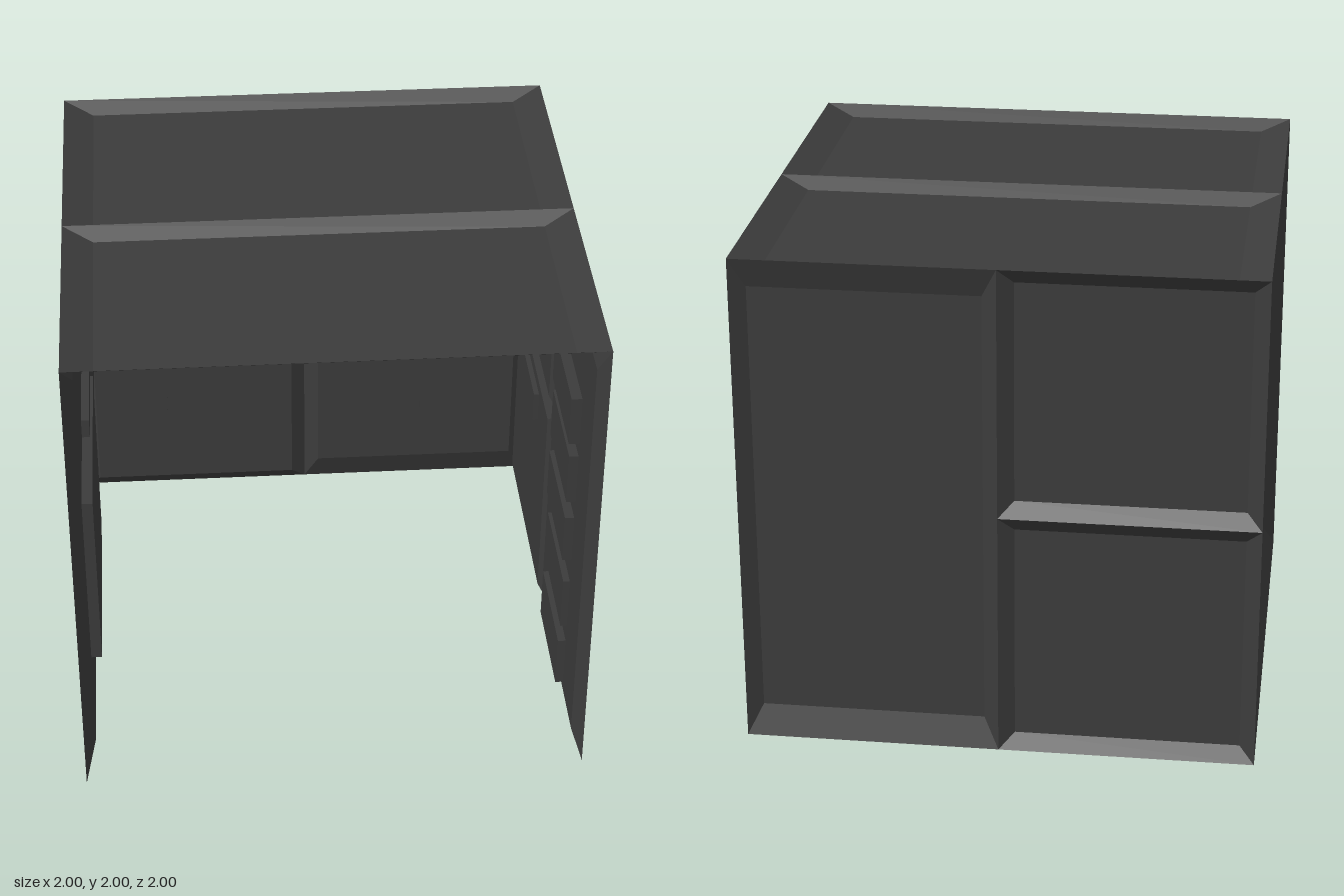
import * as THREE from 'three';

const DEPTH = 0.042; // how far each panel is pressed inward
const BEVEL = 0.06;  // bevel width as a share of the panel's size

const charcoal = new THREE.MeshStandardMaterial({ color: 0x3c3c3c, side: THREE.DoubleSide });
charcoal.name = 'charcoal';

// Thin sheet whose middle is pressed towards +z, with a sloping rim
function pressedPanel(x0, x1, y0, y1) {
  const bx = (x1 - x0) * BEVEL, by = (y1 - y0) * BEVEL;
  const ring = (ix, iy, z) => [
    x0 + ix, y0 + iy, z, x1 - ix, y0 + iy, z, x1 - ix, y1 - iy, z, x0 + ix, y1 - iy, z];
  const index = [4, 5, 6, 4, 6, 7];
  for (let i = 0; i < 4; i++) {
    const j = (i + 1) % 4;
    index.push(i, j, j + 4, i, j + 4, i + 4);
  }
  const indexed = new THREE.BufferGeometry();
  indexed.setAttribute('position',
    new THREE.Float32BufferAttribute([...ring(0, 0, -1), ...ring(bx, by, -1 + DEPTH)], 3));
  indexed.setIndex(index);
  const geometry = indexed.toNonIndexed();
  geometry.computeVertexNormals();
  return geometry;
}

// Raised block on the inner face of a wall, reaching "reach" inward from the cube's face
function raisedBlock(x0, x1, y0, y1, reach) {
  const start = DEPTH + 0.002;
  const geometry = new THREE.BoxGeometry(x1 - x0, y1 - y0, reach - start);
  geometry.translate((x0 + x1) / 2, (y0 + y1) / 2, -1 + (start + reach) / 2);
  return geometry;
}

// One wall, modelled at local z = -1 and facing +z
function wall(name, panels, blocks) {
  const group = new THREE.Group();
  group.name = name;
  const add = (part, geometry) => {
    const mesh = new THREE.Mesh(geometry, charcoal);
    mesh.name = part;
    group.add(mesh);
  };
  panels.forEach(p => add('pressedPanel', pressedPanel(...p)));
  blocks.forEach(b => add('raisedBlock', raisedBlock(...b)));
  return group;
}

export function createModel() {
  const model = new THREE.Group();
  model.name = 'openPanelRoom';

  // Back wall: one tall panel and two square ones
  const back = wall('backWall',
    [[0, 1, 0, 2], [-1, 0, 0, 1], [-1, 0, 1, 2]],
    [
      [-0.86, -0.4, 1.58, 1.87, 0.075],
      [-0.73, -0.41, 1.38, 1.5, 0.075],
      [-0.73, -0.41, 1.22, 1.35, 0.075],
      [-0.72, -0.62, 0.42, 0.85, 0.075],
      // joined cluster
      [-0.59, -0.49, 0.42, 0.85, 0.075],
      [-0.49, -0.45, 0.63, 0.76, 0.075],
      [-0.45, -0.36, 0.42, 0.85, 0.075],
      [-0.36, -0.09, 0.63, 0.76, 0.075],
      [-0.36, -0.25, 0.5, 0.63, 0.075],
      // cluster on the tall panel
      [0.4, 0.74, 0.61, 0.95, 0.085],
      [0.52, 0.66, 0.95, 1.11, 0.085],
      [0.27, 0.4, 0.73, 0.92, 0.07],
      [0.52, 0.74, 0.39, 0.61, 0.07],
    ]);

  // Left wall (+x); local x runs along +z
  const left = wall('leftWall',
    [[0, 1, 0, 2], [-1, 0, 0, 1], [-1, 0, 1, 2]],
    [
      [0.25, 0.7, 1.37, 1.58, 0.085],
      [0.25, 0.7, 1.09, 1.31, 0.08],
      [0.25, 0.7, 0.8, 1.01, 0.08],
      [0.25, 0.7, 0.46, 0.69, 0.07],
      [0.25, 0.7, 0.16, 0.38, 0.075],
      [-0.7, -0.3, 1.33, 1.4, 0.1],
      [-0.7, -0.3, 1.25, 1.31, 0.1],
      [-0.7, -0.3, 1.15, 1.22, 0.1],
      [-0.7, -0.3, 0.77, 0.9, 0.065],
    ]);
  left.rotation.y = -Math.PI / 2;

  // Right wall (-x), a single large panel; local x runs along -z
  const right = wall('rightWall',
    [[-1, 1, 0, 2]],
    [
      [-0.85, 0, 0.53, 1.29, 0.086],
      [-0.42, 0.08, 1.2, 1.37, 0.075],
      [0.08, 0.49, 0.97, 1.37, 0.075],
    ]);
  right.rotation.y = Math.PI / 2;

  // Ceiling: two wide panels; local y runs along +z
  const ceiling = wall('ceiling',
    [[-1, 1, 0, 1], [-1, 1, -1, 0]],
    [
      [-0.68, -0.13, 0.25, 0.7, 0.107],
      [0.01, 0.25, 0.3, 0.65, 0.085],
      [0.3, 0.53, 0.3, 0.65, 0.085],
      [-0.11, 0.25, -0.65, -0.35, 0.1],
    ]);
  ceiling.rotation.x = Math.PI / 2;
  ceiling.position.y = 1;

  model.add(back, left, right, ceiling);
  return model;
}
